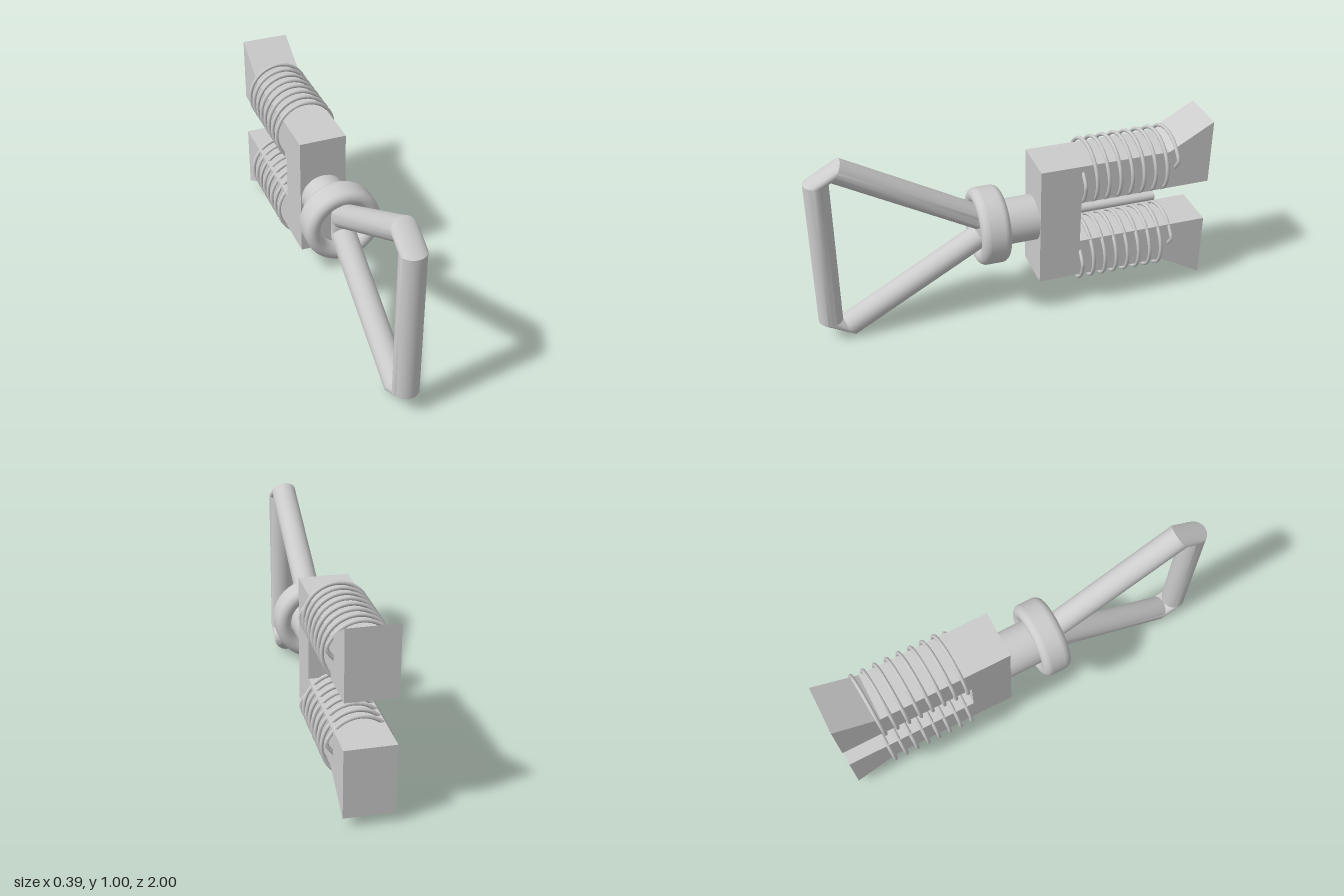
import * as THREE from 'three';
import { toCreasedNormals } from 'three/addons/utils/BufferGeometryUtils.js';

const MID = 0.51; // height of the long axis

const material = new THREE.MeshStandardMaterial({ color: 0xcccccc });

function addPart(group, name, geometry, y = 0, z = 0) {
  const mesh = new THREE.Mesh(geometry, material);
  mesh.name = name;
  mesh.position.set(0, y, z);
  group.add(mesh);
  return mesh;
}

// Cylinder lying along z between two depths
function rodAlongZ(radius, z0, z1, sides) {
  return new THREE.CylinderGeometry(radius, radius, Math.abs(z1 - z0), sides)
    .rotateX(Math.PI / 2)
    .translate(0, 0, (z0 + z1) / 2);
}

// Triangular grip: round bars whose ends share the inner corner, joined by bevels
function handleGeometry() {
  const corners = [[0.88, 0.395], [0.88, -0.395], [0.196, 0]]; // z, y
  const s = Math.sqrt(3) / 2;
  const outward = [[1, 0], [-0.5, -s], [-0.5, s]]; // one per side, z, y
  const rz = 0.06, rx = 0.063, sides = 32;
  const positions = [], index = [];
  corners.forEach(([cz, cy], k) => {
    for (const [nz, ny] of [outward[(k + 2) % 3], outward[k]]) {
      for (let j = 0; j < sides; j++) {
        const a = (j / sides) * Math.PI * 2;
        const d = rz * (1 + Math.cos(a));
        positions.push(rx * Math.sin(a), cy + ny * d, cz + nz * d);
      }
    }
  });
  const rings = 6;
  for (let i = 0; i < rings; i++) {
    for (let j = 0; j < sides; j++) {
      const a = i * sides + j, b = i * sides + ((j + 1) % sides);
      const next = ((i + 1) % rings) * sides;
      const c = next + j, d = next + ((j + 1) % sides);
      index.push(a, c, b, b, c, d);
    }
  }
  const geometry = new THREE.BufferGeometry();
  geometry.setAttribute('position', new THREE.Float32BufferAttribute(positions, 3));
  geometry.setIndex(index);
  return toCreasedNormals(geometry.toNonIndexed(), 0.5);
}

// Collar with a rounded, elongated section
function collarGeometry() {
  const r = 0.0375, centre = 0.157, half = 0.075 - r, steps = 10;
  const profile = [];
  for (const side of [1, -1]) {
    for (let i = 0; i <= steps; i++) {
      const a = (side > 0 ? 0 : Math.PI) + (i / steps) * Math.PI;
      profile.push(new THREE.Vector2(centre + r * Math.cos(a), side * half + r * Math.sin(a)));
    }
  }
  profile.push(profile[0].clone());
  return new THREE.LatheGeometry(profile, 64).rotateX(Math.PI / 2);
}

// Forked body: side profile (z, y) extruded across x
function bodyGeometry() {
  const half = [[-0.11, 0.32], [-0.775, 0.32], [-1, 0.45], [-1, 0.113], [-0.32, 0.113]];
  const mirrored = half.map(([z, y]) => [z, -y]).reverse();
  const shape = new THREE.Shape([...half, ...mirrored].map(([z, y]) => new THREE.Vector2(z, y)));
  return new THREE.ExtrudeGeometry(shape, { depth: 0.24, bevelEnabled: false })
    .translate(0, 0, -0.12)
    .rotateY(-Math.PI / 2);
}

// Coil around an arm, with both wire ends bent in to the arm's side
function coilGeometry() {
  const radius = 0.157, wire = 0.0095, turns = 7.95, z0 = -0.325, z1 = -0.812;
  const steps = 190;
  const points = [new THREE.Vector3(0.11, 0.06, z0)];
  for (let i = 0; i <= steps; i++) {
    const t = i / steps, a = -t * turns * Math.PI * 2;
    points.push(new THREE.Vector3(radius * Math.cos(a), radius * Math.sin(a), z0 + (z1 - z0) * t));
  }
  points.push(new THREE.Vector3(0.11, -0.01, z1));
  const curve = new THREE.CatmullRomCurve3(points);
  curve.arcLengthDivisions = 1500;
  return new THREE.TubeGeometry(curve, 420, wire, 8, false);
}

export function createModel() {
  const model = new THREE.Group();
  model.name = 'forkedTool';

  addPart(model, 'handle', handleGeometry(), MID);
  addPart(model, 'collar', collarGeometry(), MID, 0.125);
  addPart(model, 'neck', rodAlongZ(0.115, 0.136, -0.12, 48), MID);
  addPart(model, 'forkBody', bodyGeometry(), MID);
  addPart(model, 'centreRod', rodAlongZ(0.024, -0.3, -0.76, 24), MID);

  // Identical coils on the upper and lower arms
  const coil = coilGeometry();
  addPart(model, 'upperCoil', coil, MID + 0.229);
  addPart(model, 'lowerCoil', coil, MID - 0.229);

  return model;
}
